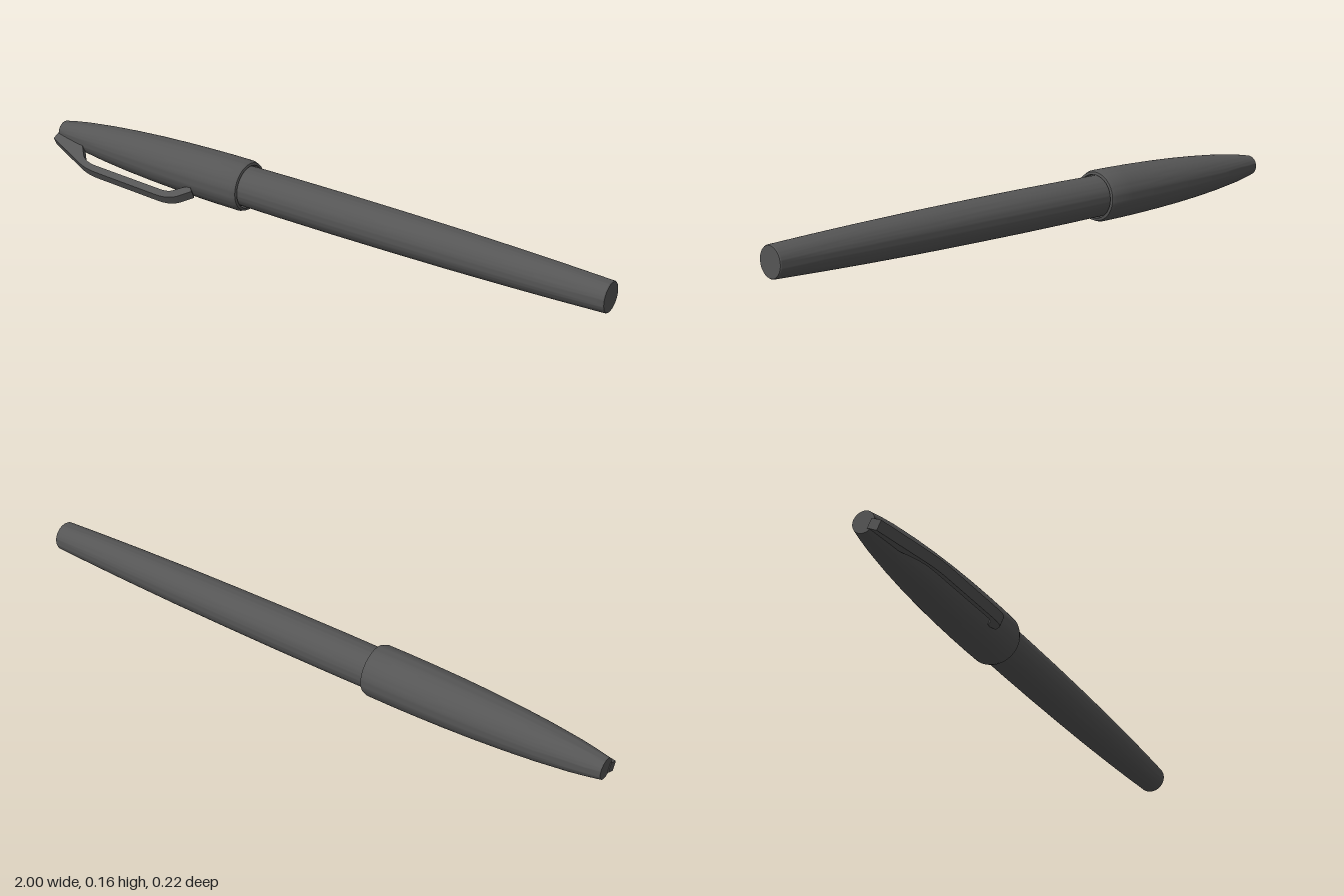
import * as THREE from 'three';
import { toCreasedNormals } from 'three/addons/utils/BufferGeometryUtils.js';

const AXIS_Y = 0.0815, AXIS_Z = -0.029;

export function createModel() {
  const pen = new THREE.Group();
  pen.name = 'pen';
  const charcoal = new THREE.MeshStandardMaterial({ color: 0x555555 });
  charcoal.name = 'charcoal';

  function add(name, geometry) {
    const mesh = new THREE.Mesh(toCreasedNormals(geometry, 0.45), charcoal);
    mesh.name = name;
    mesh.position.set(0, AXIS_Y, AXIS_Z);
    pen.add(mesh);
  }

  // Turned part lying along x; the profile is a list of [x, radius]
  function turned(name, profile) {
    const points = profile.map(([x, r]) => new THREE.Vector2(r, x));
    add(name, new THREE.LatheGeometry(points, 64).rotateZ(-Math.PI / 2));
  }

  // Barrel, tapering to a flat end
  turned('barrel', [
    [-0.3, 0], [-0.3, 0.064], [-0.1, 0.0655], [0.1, 0.0655], [0.3, 0.064], [0.5, 0.0615],
    [0.7, 0.057], [0.85, 0.0525], [0.997, 0.047], [1, 0.045], [1, 0],
  ]);

  // Cap with a bevelled lip and a shallow recess around the barrel
  turned('cap', [
    [-0.997, 0], [-0.997, 0.033], [-0.95, 0.0415], [-0.9, 0.049], [-0.8, 0.06], [-0.7, 0.068],
    [-0.6, 0.074], [-0.5, 0.078], [-0.4, 0.0805], [-0.32, 0.0815], [-0.245, 0.0815],
    [-0.232, 0.077], [-0.23, 0.069], [-0.25, 0.068], [-0.25, 0.06],
  ]);

  // Clip side profile in (x, distance from axis), extruded across its width
  const clip = new THREE.Shape();
  clip.moveTo(-1, 0.022);
  clip.lineTo(-1, 0.054);
  clip.lineTo(-0.86, 0.109);
  clip.quadraticCurveTo(-0.81, 0.131, -0.76, 0.133);
  clip.lineTo(-0.5, 0.144);
  clip.quadraticCurveTo(-0.45, 0.146, -0.425, 0.124);
  clip.lineTo(-0.392, 0.092);
  clip.lineTo(-0.405, 0.08);
  clip.lineTo(-0.425, 0.083);
  clip.lineTo(-0.455, 0.109);
  clip.quadraticCurveTo(-0.47, 0.121, -0.5, 0.119);
  clip.lineTo(-0.77, 0.108);
  clip.quadraticCurveTo(-0.82, 0.107, -0.845, 0.084);
  clip.quadraticCurveTo(-0.868, 0.06, -0.88, 0.045);
  clip.closePath();
  const width = 0.03;
  const clipGeometry = new THREE.ExtrudeGeometry(clip, { depth: width, bevelEnabled: false, curveSegments: 10 });
  clipGeometry.translate(0, 0, -width / 2);
  clipGeometry.rotateX(THREE.MathUtils.degToRad(115)); // points forward and slightly down
  add('clip', clipGeometry);

  return pen;
}
